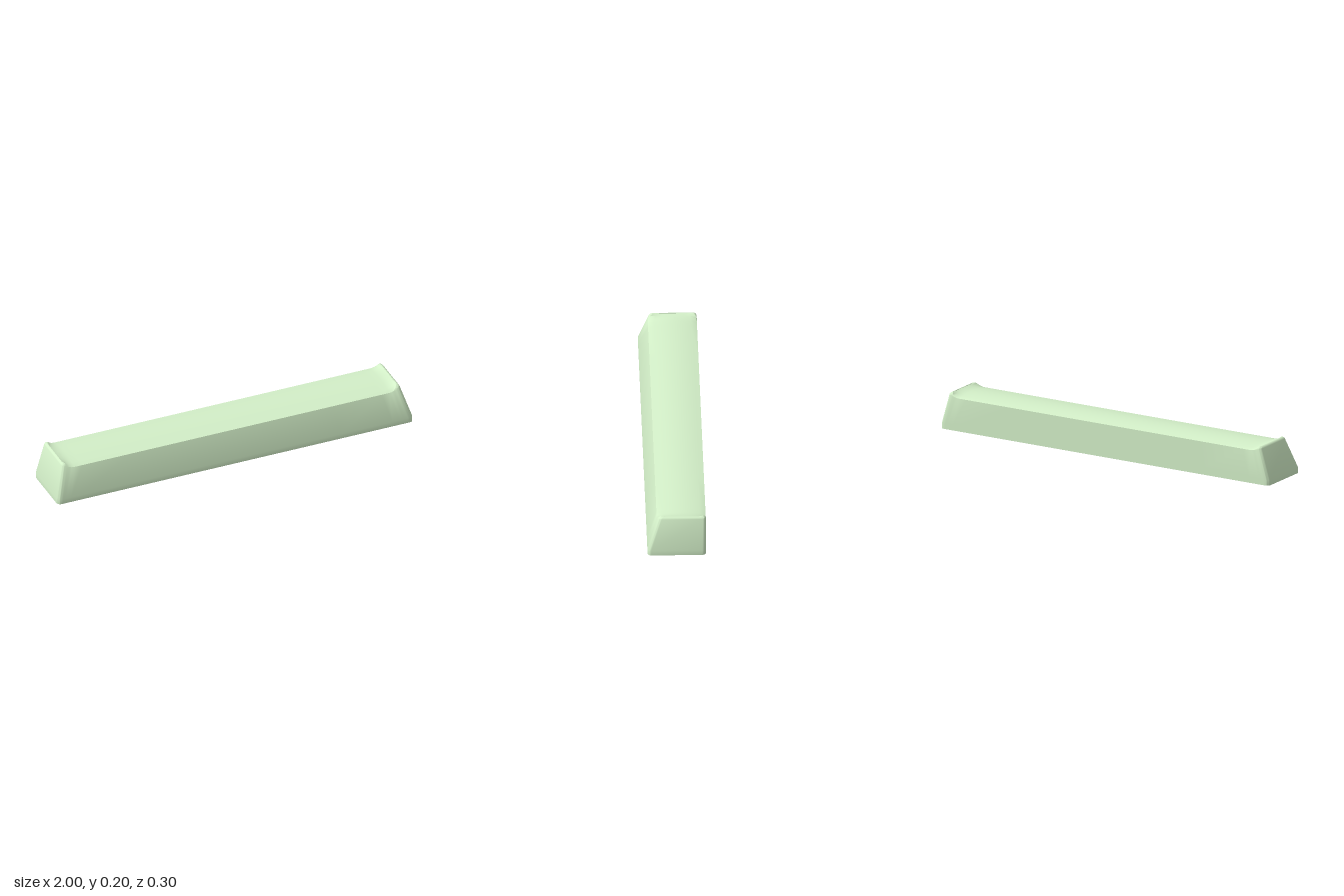
import * as THREE from 'three';
import { toCreasedNormals } from 'three/addons/utils/BufferGeometryUtils.js';

const WALL = 0.022, BAND = 0.028, CEILING = 0.163, MID_Z = -0.03;

// Half width and front depth taper above a short vertical band; the back is upright
const taper = (y) => Math.max(0, y - BAND) / (0.2 - BAND);
const halfWidth = (y) => 1 - 0.05 * taper(y);
const frontZ = (y) => 0.151 - 0.057 * taper(y);
const backZ = -0.151;

// 0 along the key, rising to 1 at the two ends
const endness = (x) => THREE.MathUtils.clamp((Math.abs(x) - 0.88) / 0.065, 0, 1) ** 2;

// Gently crowned top that lifts to flat, raised ends
function topY(x, z) {
  const crown = 0.19 - 0.013 * ((z - MID_Z) / 0.12) ** 2;
  return THREE.MathUtils.lerp(crown, 0.2, endness(x));
}

// Outline samples: corner arcs plus the points along the front and back edges
function makeOutline() {
  const out = [];
  const half = [0.99, 0.975, 0.96, 0.945, 0.9, 0.6, 0.3];
  const along = [...half, 0, ...half.map((v) => -v).reverse()];
  for (let q = 0; q < 4; q++) {
    const sx = q < 2 ? 1 : -1, sz = q === 0 || q === 3 ? 1 : -1;
    for (let i = 0; i <= 6; i++) {
      const a = (q + i / 6) * Math.PI / 2;
      out.push({ sx, sz, nx: Math.sin(a), nz: Math.cos(a) });
    }
    if (q === 1) along.forEach((sx) => out.push({ sx, sz: -1, nx: 0, nz: -1 }));
    if (q === 3) [...along].reverse().forEach((sx) => out.push({ sx, sz: 1, nx: 0, nz: 1 }));
  }
  return out;
}

// One outline sample placed at a height, moved inwards by inset
function place(o, y, inset = 0, r = 0.02) {
  const w = halfWidth(y) - inset - r;
  const z = o.sz > 0 ? frontZ(y) - inset - r : backZ + inset + r;
  return new THREE.Vector3(o.sx * w + o.nx * r, y, z + o.nz * r);
}

// Skin a list of rings, leaving out collapsed triangles
function loft(rings) {
  const pos = [], n = rings[0].length, tri = new THREE.Triangle();
  const add = (a, b, c) => {
    if (tri.set(a, b, c).getArea() > 1e-9) pos.push(...a, ...b, ...c);
  };
  for (let i = 0; i < rings.length - 1; i++) {
    for (let j = 0; j < n; j++) {
      const k = (j + 1) % n;
      const a = rings[i][j], b = rings[i][k], c = rings[i + 1][k], d = rings[i + 1][j];
      add(a, b, c);
      add(a, c, d);
    }
  }
  const g = new THREE.BufferGeometry();
  g.setAttribute('position', new THREE.Float32BufferAttribute(pos, 3));
  return toCreasedNormals(g, 0.6);
}

function shellGeometry() {
  const outline = makeOutline();
  const ring = (f) => outline.map(f);
  const inner = (y) => ring((o) => place(o, y, WALL, 0.008));
  const squash = (p, t) => new THREE.Vector3(p.x, p.y, MID_Z + (p.z - MID_Z) * t);

  // Rounded edge: full at the raised ends, sharp along the long edges
  const edge = (a) => ring((o) => {
    const p = place(o, 0.19);
    const top = topY(p.x, p.z), f = 0.01 * endness(p.x);
    return place(o, top - f * (1 - Math.sin(a)), f * (1 - Math.cos(a)));
  });
  const rim = edge(Math.PI / 2);
  const crown = [0.75, 0.5, 0.25, 0].map((t) => rim.map((p) => {
    const q = squash(p, t);
    q.y = topY(q.x, q.z);
    return q;
  }));

  return loft([
    inner(CEILING).map((p) => squash(p, 0)),
    inner(CEILING), inner(BAND), inner(0),
    ring((o) => place(o, 0)), ring((o) => place(o, BAND)),
    edge(0), edge(Math.PI / 6), edge(Math.PI / 3), rim,
    ...crown,
  ]);
}

// Round post with a cross-shaped socket
function stemGeometry() {
  const shape = new THREE.Shape().absarc(0, 0, 0.052, 0, Math.PI * 2);
  const l = 0.035, s = 0.011;
  const cross = [[l, s], [s, s], [s, l], [-s, l], [-s, s], [-l, s],
    [-l, -s], [-s, -s], [-s, -l], [s, -l], [s, -s], [l, -s]];
  shape.holes.push(new THREE.Path(cross.map(([x, y]) => new THREE.Vector2(x, y))));
  const g = new THREE.ExtrudeGeometry(shape, { depth: 0.15, bevelEnabled: false, curveSegments: 24 });
  return toCreasedNormals(g.rotateX(-Math.PI / 2), 0.6);
}

export function createModel() {
  const group = new THREE.Group();
  group.name = 'spacebarKeycap';
  const material = new THREE.MeshStandardMaterial({ color: 0xd3efc8 });

  const shell = new THREE.Mesh(shellGeometry(), material);
  shell.name = 'keycapShell';

  const stem = new THREE.Mesh(stemGeometry(), material);
  stem.name = 'switchStem';
  stem.position.set(0, 0.02, MID_Z);

  group.add(shell, stem);
  return group;
}
